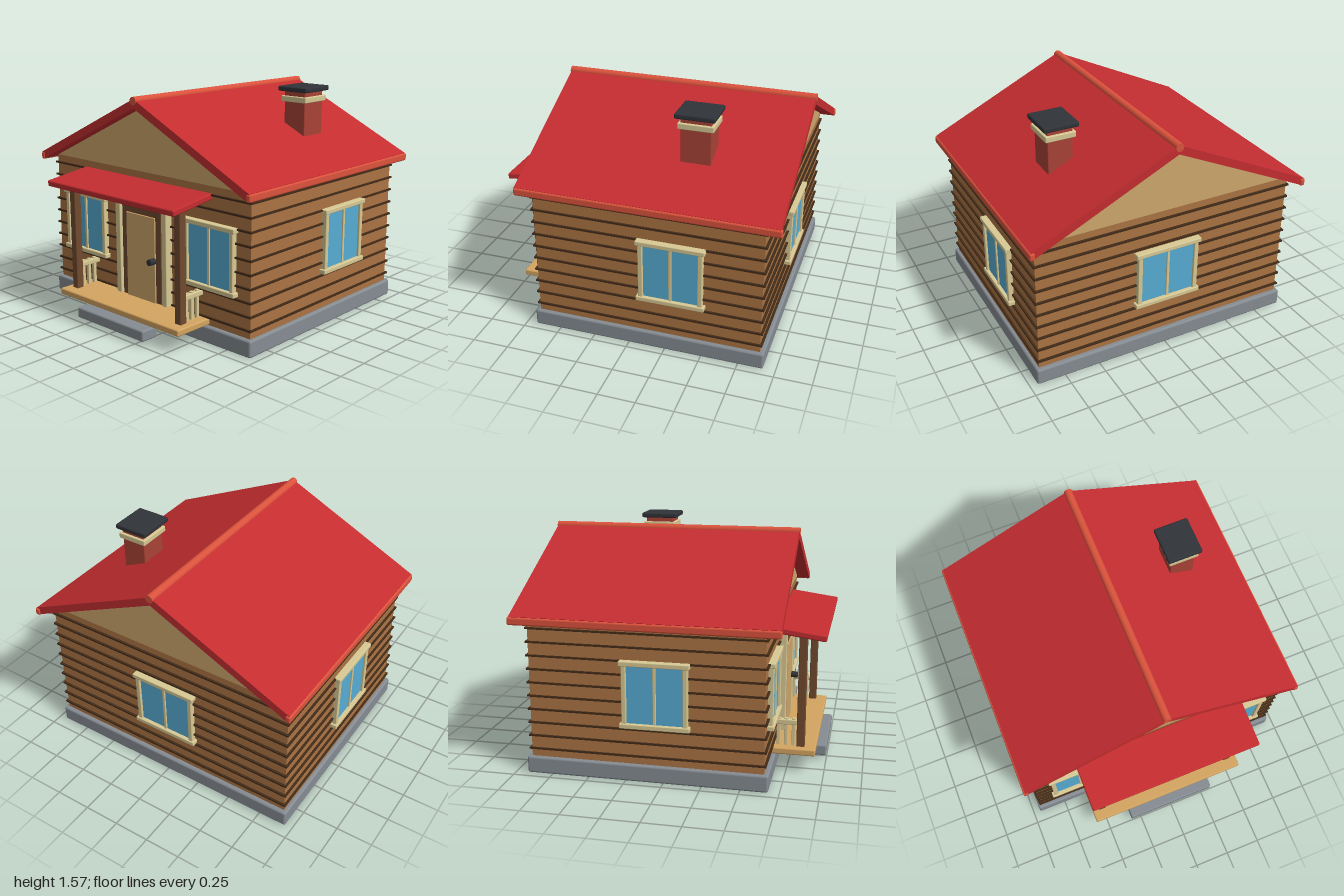
import * as THREE from 'three';
import { RoundedBoxGeometry } from 'three/addons/geometries/RoundedBoxGeometry.js';

const mat = (color) => new THREE.MeshStandardMaterial({ color });
const M = {
  wall: mat(0xab7443), groove: mat(0x432b18), gable: mat(0xcfa76c), cream: mat(0xd8c994),
  glass: mat(0x57acd3), roof: mat(0xc42d30), trim: mat(0xdb523c), stone: mat(0x858c92),
  dark: mat(0x303338), post: mat(0x714a2f), deck: mat(0xd3a460), brick: mat(0xa84236),
};

// Softly rounded block given by its extents on each axis
function block(parent, name, material, [x0, x1], [y0, y1], [z0, z1], radius = 0.006) {
  const w = x1 - x0, h = y1 - y0, d = z1 - z0;
  const geo = radius > 0
    ? new RoundedBoxGeometry(w, h, d, 2, Math.min(radius, w * 0.45, h * 0.45, d * 0.45))
    : new THREE.BoxGeometry(w, h, d);
  const mesh = new THREE.Mesh(geo, material);
  mesh.name = name;
  mesh.position.set((x0 + x1) / 2, (y0 + y1) / 2, (z0 + z1) / 2);
  parent.add(mesh);
  return mesh;
}

// Profile in x-y extruded from z0 to z1
function prism(parent, name, material, points, z0, z1) {
  const shape = new THREE.Shape(points.map(([x, y]) => new THREE.Vector2(x, y)));
  const geo = new THREE.ExtrudeGeometry(shape, { depth: z1 - z0, bevelEnabled: false });
  const mesh = new THREE.Mesh(geo, material);
  mesh.name = name;
  mesh.position.z = z0;
  parent.add(mesh);
  return mesh;
}

// Framed two-pane window facing +z, with its back on the wall plane
function makeWindow(name, w, h) {
  const g = new THREE.Group();
  g.name = name;
  const X = w / 2, Y = h / 2, side = X - 0.015;
  block(g, 'glass', M.glass, [-side + 0.01, side - 0.01], [-Y + 0.01, Y - 0.01], [-0.02, 0.02], 0);
  block(g, 'mullion', M.cream, [-0.01, 0.01], [-Y + 0.02, Y - 0.02], [0, 0.03], 0.004);
  for (const s of [-1, 1]) {
    const cx = s * (side - 0.016), cy = s * (Y - 0.016);
    block(g, 'sideFrame', M.cream, [cx - 0.016, cx + 0.016], [-Y + 0.01, Y - 0.01], [-0.02, 0.036]);
    block(g, s > 0 ? 'lintel' : 'sill', M.cream, [-X, X], [cy - 0.016, cy + 0.016], [-0.02, 0.045]);
  }
  return g;
}

function buildBody(model) {
  block(model, 'foundation', M.stone, [-0.95, 0.95], [0, 0.115], [-0.92, 0.68], 0.015);
  block(model, 'walls', M.wall, [-0.925, 0.925], [0.1, 1.045], [-0.89, 0.65], 0);
  // Dark seams between the logs
  for (let i = 0; i < 10; i++) {
    const y = 0.17 + i * 0.0905;
    block(model, 'logSeam', M.groove, [-0.938, 0.938], [y - 0.006, y + 0.006], [-0.905, 0.665], 0);
  }
  prism(model, 'gable', M.gable, [[-0.93, 1.04], [0.93, 1.04], [0, 1.48]], -0.893, 0.653);
}

function buildRoof(model) {
  const roof = new THREE.Group();
  roof.name = 'roof';
  model.add(roof);
  prism(roof, 'roofSlab', M.roof,
    [[0, 1.475], [0.965, 1.018], [0.985, 1.066], [0, 1.535], [-0.985, 1.066], [-0.965, 1.018]], -0.99, 0.745);
  const ridge = new THREE.Mesh(new THREE.CylinderGeometry(0.028, 0.028, 1.745, 16), M.trim);
  ridge.name = 'ridgeCap';
  ridge.rotation.x = Math.PI / 2;
  ridge.position.set(0, 1.522, -0.1225);
  roof.add(ridge);
  for (const s of [-1, 1]) {
    const x = s * 0.977;
    block(roof, 'eaveTrim', M.trim, [x - 0.018, x + 0.018], [1.012, 1.064], [-1, 0.75], 0.012);
  }
  // Chimney
  const chimney = new THREE.Group();
  chimney.name = 'chimney';
  model.add(chimney);
  block(chimney, 'chimneyStack', M.brick, [0.453, 0.627], [1.15, 1.545], [-0.457, -0.255]);
  block(chimney, 'chimneyBand', M.cream, [0.435, 0.645], [1.465, 1.505], [-0.475, -0.238]);
  block(chimney, 'chimneyCap', M.dark, [0.418, 0.66], [1.537, 1.572], [-0.487, -0.222], 0.01);
}

function buildWindows(model) {
  const place = (name, w, h, x, y, z, turn) => {
    const win = makeWindow(name, w, h);
    win.position.set(x, y, z);
    win.rotation.y = turn;
    model.add(win);
  };
  place('frontWindowLeft', 0.45, 0.445, 0.597, 0.588, 0.65, 0);
  place('frontWindowRight', 0.45, 0.445, -0.597, 0.588, 0.65, 0);
  place('sideWindowLeft', 0.46, 0.445, 0.925, 0.588, -0.292, Math.PI / 2);
  place('sideWindowRight', 0.46, 0.445, -0.925, 0.588, -0.05, -Math.PI / 2);
  place('backWindow', 0.48, 0.42, 0, 0.572, -0.89, Math.PI);
}

function buildDoor(model) {
  const door = new THREE.Group();
  door.name = 'door';
  model.add(door);
  block(door, 'doorSurround', M.gable, [-0.21, 0.21], [0.12, 0.87], [0.63, 0.68], 0);
  block(door, 'doorHeadTrim', M.cream, [-0.247, 0.247], [0.857, 0.897], [0.64, 0.71]);
  for (const s of [-1, 1]) {
    const x = s * 0.223;
    block(door, 'doorSideTrim', M.cream, [x - 0.023, x + 0.023], [0.06, 0.88], [0.64, 0.705]);
  }
  block(door, 'doorFrame', M.post, [-0.194, 0.194], [0.105, 0.827], [0.64, 0.695], 0.015);
  block(door, 'doorPanel', M.gable, [-0.138, 0.138], [0.15, 0.757], [0.66, 0.704], 0.004);
  const knob = new THREE.Mesh(new THREE.CylinderGeometry(0.022, 0.022, 0.05, 16), M.dark);
  knob.name = 'doorKnob';
  knob.rotation.x = Math.PI / 2;
  knob.position.set(0.128, 0.46, 0.725);
  door.add(knob);
}

function buildPorch(model) {
  const porch = new THREE.Group();
  porch.name = 'porch';
  model.add(porch);
  block(porch, 'porchDeck', M.deck, [-0.583, 0.583], [0.12, 0.165], [0.63, 0.94], 0.01);
  block(porch, 'frontStep', M.stone, [-0.325, 0.325], [0.03, 0.105], [0.872, 1], 0.012);
  const canopy = block(porch, 'porchRoof', M.roof, [-0.608, 0.608], [0.93, 0.972], [0.645, 0.995], 0.01);
  canopy.rotation.x = 0.135;
  for (const s of [-1, 1]) {
    const x = s * 0.508;
    block(porch, 'porchPost', M.post, [x - 0.027, x + 0.027], [0.16, 0.935], [0.812, 0.866]);
    block(porch, 'handrail', M.cream, [x - 0.02, x + 0.02], [0.31, 0.345], [0.65, 0.815]);
    for (const z of [0.69, 0.74, 0.79])
      block(porch, 'baluster', M.cream, [x - 0.012, x + 0.012], [0.16, 0.355], [z - 0.012, z + 0.012], 0.004);
  }
}

export function createModel() {
  const model = new THREE.Group();
  model.name = 'logCabin';
  buildBody(model);
  buildRoof(model);
  buildWindows(model);
  buildDoor(model);
  buildPorch(model);
  return model;
}
